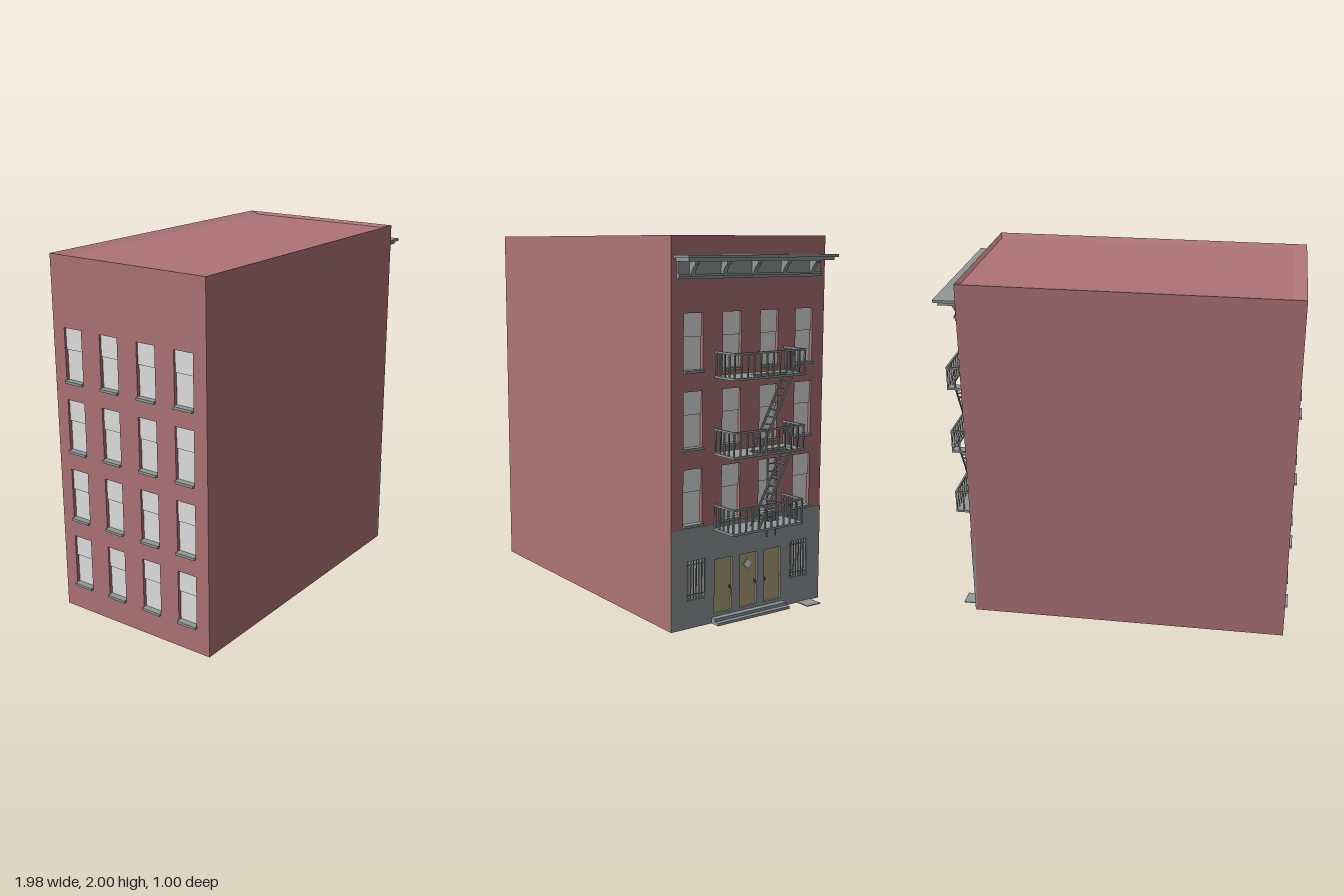
import * as THREE from 'three';

const mat = (name, color, side = THREE.FrontSide) => {
  const m = new THREE.MeshStandardMaterial({ color, side });
  m.name = name;
  return m;
};

export function createModel() {
  const brick = mat('brick', 0xae7476, THREE.DoubleSide);
  const trim = mat('grey trim', 0x909998);
  const pane = mat('window white', 0xe3e3e3);
  const wood = mat('door tan', 0xb5a47d);
  const dark = mat('dark metal', 0x4a5252);

  const X0 = -0.975, X1 = 0.82, T = 0.02;
  const model = new THREE.Group();
  model.name = 'apartmentBuilding';

  const add = (parent, name, geo, m) => {
    const mesh = new THREE.Mesh(geo, m);
    mesh.name = name;
    parent.add(mesh);
    return mesh;
  };
  const group = (parent, name) => {
    const g = new THREE.Group();
    g.name = name;
    parent.add(g);
    return g;
  };
  // Box given by its limits: u along the wall, y up, w outward from the wall
  const box = (parent, name, m, u0, u1, y0, y1, w0, w1) => {
    const b = add(parent, name, new THREE.BoxGeometry(u1 - u0, y1 - y0, w1 - w0), m);
    b.position.set((u0 + u1) / 2, (y0 + y1) / 2, (w0 + w1) / 2);
    return b;
  };
  // Wall outline with rectangular openings [u0, u1, y0, y1]
  const wallShape = (y0, y1, openings) => {
    const rect = (P, [a, b, c, d]) => new P([[a, c], [b, c], [b, d], [a, d]].map(p => new THREE.Vector2(...p)));
    const s = rect(THREE.Shape, [-0.5, 0.5, y0, y1]);
    s.holes = openings.map(o => rect(THREE.Path, o));
    return s;
  };
  const opening = (u, y, w = 0.118, h = 0.298) => [u - w / 2, u + w / 2, y, y + h];

  // Double-hung window with brick reveal and sill
  const sashWindow = (parent, [u0, u1, y0, y1]) => {
    const g = group(parent, 'window'), mid = y0 + 0.18;
    const reveal = box(g, 'reveal', brick, u0, u1, y0, y1, -T, 0).geometry;
    reveal.setIndex(Array.from(reveal.index.array).slice(0, 24)); // four sides only
    box(g, 'lowerSash', pane, u0, u1, y0, mid, -T - 0.006, -T);
    box(g, 'upperSash', pane, u0, u1, mid, y1, -T - 0.002, -T + 0.008);
    box(g, 'sill', trim, u0, u1, y0, y0 + 0.014, -T, 0.016);
  };
  const brickWall = (parent, y0, openings) => {
    add(parent, 'brickWall', new THREE.ShapeGeometry(wallShape(y0, 2, openings)), brick);
    openings.forEach(o => sashWindow(parent, o));
  };

  // Side walls
  for (const s of [1, -1]) {
    const side = add(model, 'sideWall', new THREE.PlaneGeometry(X1 - X0, 2), brick);
    side.position.set((X0 + X1) / 2, 1, s * 0.5);
    if (s < 0) side.rotation.y = Math.PI;
  }

  // Slightly sunken roof with sloping rim
  const corners = (x0, x1, z, y) => [[x0, y, z], [x1, y, z], [x1, y, -z], [x0, y, -z]];
  const outer = corners(X0, X1, 0.5, 2), inner = corners(-0.9, 0.8, 0.435, 1.986);
  const pts = [];
  const quad = (a, b, c, d) => pts.push(...a, ...b, ...c, ...a, ...c, ...d);
  for (let i = 0; i < 4; i++) {
    const j = (i + 1) % 4;
    quad(outer[i], outer[j], inner[j], inner[i]);
  }
  quad(...inner);
  const roof = new THREE.BufferGeometry();
  roof.setAttribute('position', new THREE.Float32BufferAttribute(pts, 3));
  roof.computeVertexNormals();
  add(model, 'roof', roof, brick);

  // Rear facade
  const rows = [1.322, 0.93, 0.535, 0.14];
  const columns = [-0.365, -0.122, 0.122, 0.36];
  const rear = group(model, 'rearFacade');
  rear.position.x = X0;
  rear.rotation.y = -Math.PI / 2;
  brickWall(rear, 0, rows.flatMap(y => columns.map(u => opening(u, y))));

  // Street facade
  const street = group(model, 'streetFacade');
  street.position.x = X1;
  street.rotation.y = Math.PI / 2;
  brickWall(street, 0.53, rows.slice(0, 3).flatMap(y => columns.map(u => opening(u, y))));

  // Ground floor wall
  const doors = [-0.169, 0, 0.164].map(u => opening(u, 0.05, 0.115, 0.29));
  const barred = [-0.346, 0.347].map(u => opening(u, 0.148, 0.122, 0.214));
  const ground = new THREE.ExtrudeGeometry(wallShape(0, 0.53, [...doors, ...barred]), { depth: T + 0.004, bevelEnabled: false });
  add(street, 'groundFloorWall', ground.translate(0, 0, -T), trim);

  // Doors with handles, diamond light in the middle one
  doors.forEach(([u0, u1, y0, y1], i) => {
    box(street, 'door', wood, u0, u1, y0, y1, -T, -0.008);
    const k = i === 2 ? u0 + 0.01 : u1 - 0.01;
    box(street, 'doorHandle', dark, k - 0.002, k + 0.002, 0.168, 0.187, -0.008, 0.002);
  });
  for (const [name, m, r, w] of [['lightFrame', trim, 0.023, -0.005], ['doorLight', pane, 0.019, -0.002]])
    box(street, name, m, -r, r, 0.278 - r, 0.278 + r, -0.009, w).rotation.z = Math.PI / 4;

  // Ground floor windows with frame and bars set inside the opening
  for (const [u0, u1, y0, y1] of barred) {
    const g = group(street, 'barredWindow');
    box(g, 'glass', pane, u0, u1, y0, y1, -T - 0.004, -T + 0.002);
    for (const u of [u0, u1 - 0.006]) box(g, 'frameSide', trim, u, u + 0.006, y0, y1, -T, 0);
    for (const y of [y0, y1 - 0.006]) box(g, 'frameEnd', trim, u0, u1, y, y + 0.006, -T, 0);
    for (let i = 1; i <= 6; i++) {
      const u = u0 + (u1 - u0) * i / 7;
      box(g, 'windowBar', trim, u - 0.002, u + 0.002, y0, y1, -0.006, -0.002);
    }
    for (const y of [y0 + 0.025, y1 - 0.03]) box(g, 'crossBar', trim, u0, u1, y, y + 0.004, -0.006, -0.002);
  }

  // Entrance steps and pavement hatch
  box(street, 'lowerStep', trim, -0.243, 0.243, 0, 0.015, 0, 0.06);
  box(street, 'upperStep', trim, -0.243, 0.243, 0.015, 0.032, 0, 0.035);
  box(street, 'pavementHatch', trim, 0.345, 0.44, 0, 0.005, 0, 0.09);

  // Cornice with scrolled brackets
  const cornice = group(street, 'cornice');
  box(cornice, 'topSlab', trim, -0.485, 0.482, 1.89, 1.904, 0, 0.127);
  box(cornice, 'underSlab', trim, -0.47, 0.47, 1.873, 1.89, 0, 0.105);
  box(cornice, 'frieze', trim, -0.466, 0.46, 1.81, 1.873, 0, 0.015);
  box(cornice, 'lowerMoulding', trim, -0.468, 0.458, 1.8, 1.812, 0, 0.026);
  box(cornice, 'lowerMoulding', trim, -0.468, 0.458, 1.788, 1.8, 0, 0.019);
  const profile = new THREE.Shape();
  profile.moveTo(0, 1.8);
  profile.lineTo(0.028, 1.8);
  profile.quadraticCurveTo(0.035, 1.84, 0.066, 1.86);
  profile.lineTo(0.066, 1.875);
  profile.lineTo(0, 1.875);
  for (let i = 0; i < 5; i++) {
    const g = new THREE.ExtrudeGeometry(profile, { depth: 0.024, bevelEnabled: false, curveSegments: 6 });
    const b = add(cornice, 'bracket', g.translate(0, 0, -0.012), trim);
    b.rotation.y = -Math.PI / 2;
    b.position.x = -0.39 + i * 0.195;
  }

  // Fire escape: platforms with an opening [u0, u1, w0, w1], and railings
  const escape = group(street, 'fireEscape');
  const U = 0.233, W = 0.165;
  const balcony = (y, [a, b, c, d]) => {
    const g = group(escape, 'balcony'), t = y + 0.012, top = y + 0.138;
    box(g, 'platform', trim, -U, a, y, t, 0, W);
    box(g, 'platform', trim, b, U, y, t, 0, W);
    box(g, 'platform', trim, a, b, y, t, 0, c);
    box(g, 'platform', trim, a, b, y, t, d, W);
    box(g, 'frontRail', trim, -U, U, top - 0.01, top, W - 0.01, W);
    for (let i = 0; i <= 11; i++) {
      const u = -U + 0.005 + (2 * U - 0.01) * i / 11;
      box(g, 'baluster', trim, u - 0.004, u + 0.004, t, top - 0.01, W - 0.009, W - 0.001);
    }
    for (const s of [-1, 1]) {
      const u = s * (U - 0.005);
      box(g, 'sideRail', trim, u - 0.005, u + 0.005, top - 0.01, top, 0, W - 0.01);
      for (const w of [0.01, 0.045, 0.08, 0.118])
        box(g, 'baluster', trim, u - 0.004, u + 0.004, t, top - 0.01, w - 0.004, w + 0.004);
    }
  };
  const stairGap = [-0.06, 0.18, 0.075, 0.15];
  balcony(1.288, stairGap);
  balcony(0.893, stairGap);
  balcony(0.498, [0.085, 0.165, 0.018, 0.06]);

  // Stairs between balconies
  const run = 0.21, rise = 0.395, len = Math.hypot(run, rise);
  for (const y of [0.505, 0.9]) {
    const g = group(escape, 'stair');
    for (const w of [0.08, 0.145]) {
      const s = add(g, 'stringer', new THREE.BoxGeometry(len, 0.013, 0.006), trim);
      s.position.set(-0.05 + run / 2, y + rise / 2, w);
      s.rotation.z = Math.atan2(rise, run);
    }
    for (let i = 1; i < 11; i++) {
      const u = -0.05 + run * i / 11, v = y + rise * i / 11;
      box(g, 'tread', trim, u - 0.011, u + 0.011, v - 0.002, v + 0.002, 0.08, 0.145);
    }
  }

  // Drop ladder
  const ladder = group(escape, 'dropLadder');
  for (const u of [0.096, 0.153]) box(ladder, 'ladderRail', trim, u - 0.004, u + 0.004, 0.42, 0.84, 0.03, 0.038);
  for (let i = 0; i < 9; i++) {
    const y = 0.486 + i * 0.041;
    box(ladder, 'rung', trim, 0.096, 0.153, y - 0.003, y + 0.003, 0.031, 0.037);
  }

  return model;
}
